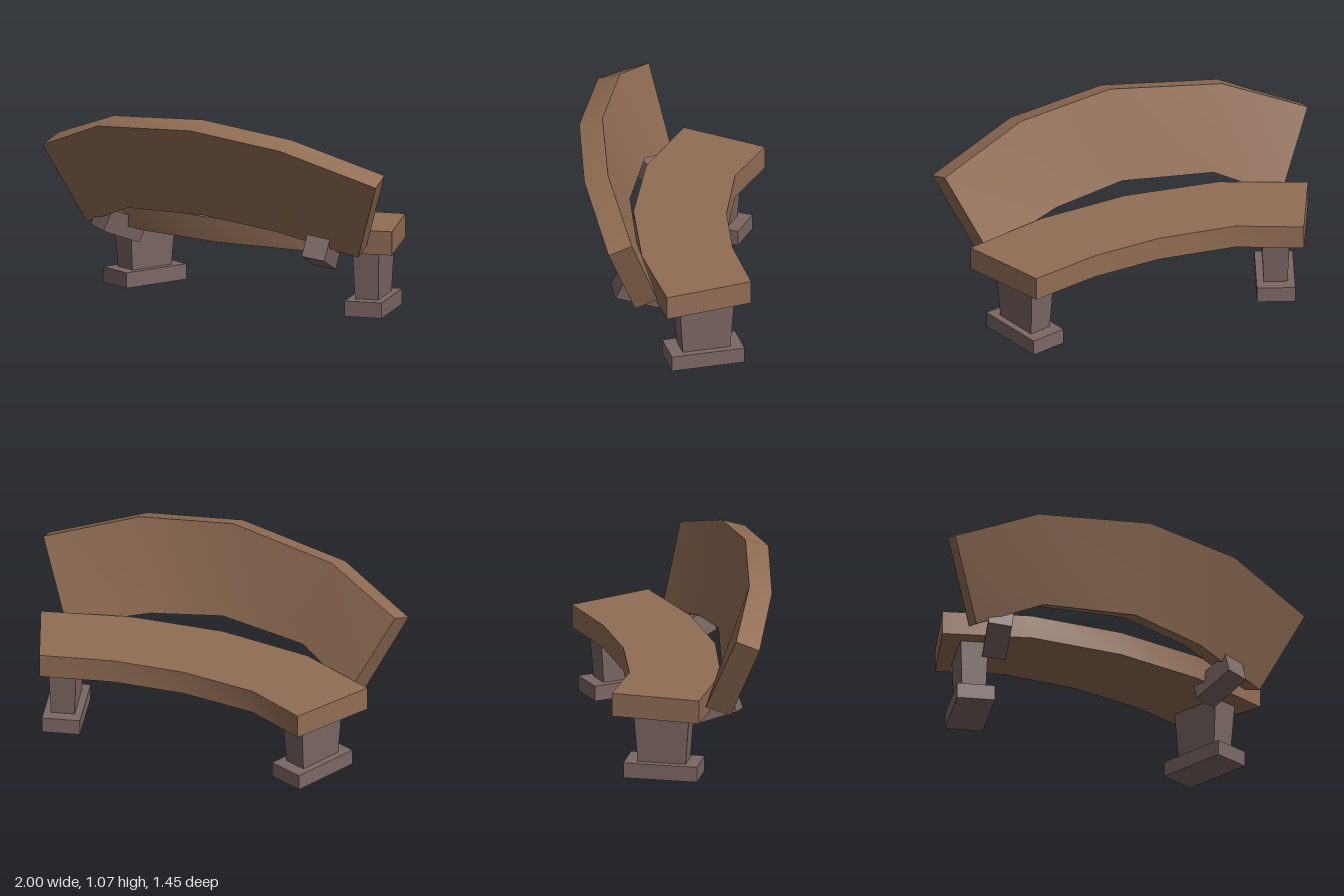
import * as THREE from 'three';
import { toCreasedNormals } from 'three/addons/utils/BufferGeometryUtils.js';

// Four-cornered sections (inner top, outer top, outer bottom, inner bottom) joined left to right.
function loft(sections) {
  const index = [];
  for (let i = 0; i < sections.length - 1; i++) {
    for (let k = 0; k < 4; k++) {
      const a = i * 4 + k, b = i * 4 + (k + 1) % 4;
      index.push(a, b, b + 4, a, b + 4, a + 4);
    }
  }
  const e = (sections.length - 1) * 4;
  index.push(0, 3, 2, 0, 2, 1, e, e + 1, e + 2, e, e + 2, e + 3);
  const geo = new THREE.BufferGeometry();
  geo.setAttribute('position', new THREE.Float32BufferAttribute(sections.flat(2), 3));
  geo.setIndex(index);
  return toCreasedNormals(geo, 0.5);
}

export function createModel() {
  const group = new THREE.Group();
  const wood = new THREE.MeshStandardMaterial({ color: 0x916d54 });
  wood.name = 'wood';
  const stone = new THREE.MeshStandardMaterial({ color: 0x7b6764 });
  stone.name = 'greyLegs';

  const add = (name, geo, mat, parent = group) => {
    const mesh = new THREE.Mesh(geo, mat);
    mesh.name = name;
    parent.add(mesh);
    return mesh;
  };

  // Curved seat: inner x, z and outer x, z at each station
  const seat = [
    [-0.42, -0.725, -0.785, -0.40],
    [-0.17, -0.455, -0.45, -0.05],
    [0.21, -0.255, 0.01, 0.205],
    [0.59, -0.14, 0.50, 0.35],
    [0.99, -0.09, 0.997, 0.40],
  ].map(([ix, iz, ox, oz]) => [[ix, 0.49, iz], [ox, 0.49, oz], [ox, 0.36, oz], [ix, 0.36, iz]]);
  add('seat', loft(seat), wood);

  // Leaning backrest with arched top and bottom edges
  const back = [
    [[-0.93, 0.84, -0.255], [-1.0, 0.79, -0.15], [-0.765, 0.365, -0.185], [-0.685, 0.41, -0.295]],
    [[-0.58, 1.005, 0.05], [-0.65, 0.965, 0.15], [-0.5, 0.505, 0.07], [-0.43, 0.55, -0.035]],
    [[-0.04, 1.065, 0.365], [-0.09, 1.025, 0.48], [-0.04, 0.535, 0.345], [0.01, 0.573, 0.225]],
    [[0.472, 1.005, 0.535], [0.43, 0.965, 0.655], [0.375, 0.482, 0.46], [0.40, 0.52, 0.34]],
    [[0.99, 0.84, 0.60], [0.963, 0.795, 0.725], [0.833, 0.367, 0.52], [0.86, 0.41, 0.40]],
  ];
  add('backrest', loft(back), wood);

  // Legs: a post widening upward on a flat foot
  const r = Math.SQRT1_2;
  const postGeo = toCreasedNormals(
    new THREE.CylinderGeometry(r, r * 0.86, 0.29, 4).rotateY(Math.PI / 4).scale(0.15, 1, 0.305), 0.5);
  const footGeo = new THREE.BoxGeometry(0.207, 0.085, 0.405);
  for (const [name, x, z, yaw] of [['leftLeg', 0.852, 0.132, -0.115], ['rightLeg', -0.49, -0.437, -0.76]]) {
    const leg = new THREE.Group();
    leg.name = name;
    leg.position.set(x, 0, z);
    leg.rotation.y = yaw;
    add('foot', footGeo, stone, leg).position.y = 0.0425;
    add('post', postGeo, stone, leg).position.y = 0.22;
    group.add(leg);
  }

  // Tilted brackets joining the seat to the backrest
  const bracketGeo = new THREE.BoxGeometry(0.13, 0.125, 0.255);
  for (const [name, x, z, yaw] of [['leftBracket', 0.615, 0.412, -0.1], ['rightBracket', -0.585, -0.175, -0.78]]) {
    const bracket = add(name, bracketGeo, stone);
    bracket.position.set(x, 0.37, z);
    bracket.rotation.set(-0.37, yaw, -0.15, 'YXZ');
  }

  return group;
}
